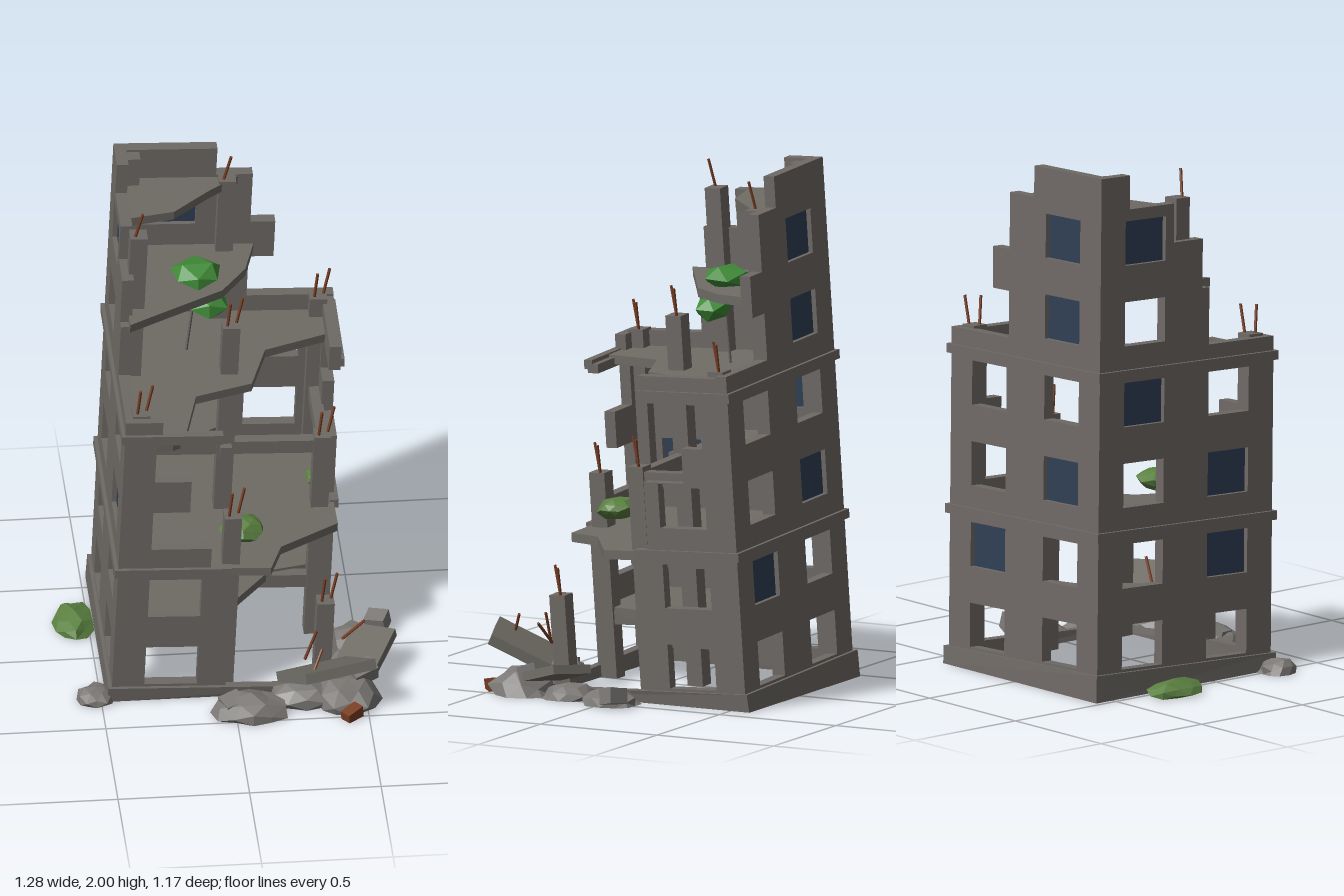
import * as THREE from 'three';

const mat = (name, color) => new THREE.MeshStandardMaterial({ name, color });
const M = {
  wall: mat('concreteWall', 0x6e6965),
  slab: mat('concreteFloor', 0x6f6c65),
  rock: mat('rubbleGrey', 0x7b7875),
  glass: mat('darkGlass', 0x2e3f54),
  rust: mat('rust', 0x7b4025),
  leaf: mat('leafGreen', 0x5a8040),
  fresh: mat('freshGreen', 0x3f8a37),
};
const W = 0.432, T = 0.045, STOREY = 0.31;   // wall half width, thickness, storey height
const floorY = k => STOREY * k - 0.02;

function add(parent, name, geo, material, x = 0, y = 0, z = 0, rx = 0, ry = 0, rz = 0) {
  const m = new THREE.Mesh(geo, material);
  m.name = name;
  m.position.set(x, y, z);
  m.rotation.set(rx, ry, rz);
  parent.add(m);
  return m;
}
const box = (w, h, d) => new THREE.BoxGeometry(w, h, d);
// box given by its limits
const span = (p, name, m, x0, x1, y0, y1, z0, z1) =>
  add(p, name, box(x1 - x0, y1 - y0, z1 - z0), m, (x0 + x1) / 2, (y0 + y1) / 2, (z0 + z1) / 2);
const shapeOf = pts => new THREE.Shape(pts.map(p => new THREE.Vector2(p[0], p[1])));

// Ragged wall with windows; each window is [storey, bay (-1 or 1), glazed]
function wall(parent, name, pts, windows) {
  const g = new THREE.Group();
  g.name = name;
  const s = shapeOf(pts);
  for (const [k, bay, glazed] of windows) {
    const x = bay * 0.21, y = floorY(k - 1) + 0.095, h = 0.17;
    s.holes.push(new THREE.Path([[x - 0.1, y], [x - 0.1, y + h], [x + 0.1, y + h], [x + 0.1, y]]
      .map(p => new THREE.Vector2(...p))));
    if (glazed) add(g, 'windowPane', box(0.2, h, 0.008), M.glass, x, y + h / 2, T / 2);
  }
  add(g, name + 'Panel', new THREE.ExtrudeGeometry(s, { depth: T, bevelEnabled: false }), M.wall);
  parent.add(g);
  return g;
}

// Broken floor plate, outline in x and z
function floorSlab(parent, k, pts) {
  const geo = new THREE.ExtrudeGeometry(shapeOf(pts), { depth: 0.035, bevelEnabled: false });
  add(parent, 'floorSlab' + k, geo, M.slab, 0, floorY(k), 0, Math.PI / 2);
}

function rod(parent, name, x, y, z, len, rx, rz, m = M.rust) {
  const geo = new THREE.CylinderGeometry(0.006, 0.006, len, 6).translate(0, len / 2, 0);
  add(parent, name, geo, m, x, y, z, rx, 0, rz);
}

// Faceted lump with a repeatable uneven surface
function lump(parent, name, m, x, y, z, sx, sy, sz, detail = 1, rough = 0.12) {
  const geo = new THREE.IcosahedronGeometry(1, detail);
  const p = geo.attributes.position, v = new THREE.Vector3();
  for (let i = 0; i < p.count; i++) {
    v.fromBufferAttribute(p, i);
    v.multiplyScalar(1 + rough * Math.sin(v.x * 7.3 + v.y * 5.1 + v.z * 9.7 + x * 31 + z * 17));
    p.setXYZ(i, v.x * sx, v.y * sy, v.z * sz);
  }
  add(parent, name, geo, m, x, y, z);
}

// Applies all transforms, then flattens whatever lies below the ground
function settle(root) {
  root.updateMatrixWorld(true);
  root.traverse(o => {
    if (!o.isMesh) return;
    const geo = o.geometry.index ? o.geometry.toNonIndexed() : o.geometry;
    geo.applyMatrix4(o.matrixWorld);
    const p = geo.attributes.position;
    for (let i = 0; i < p.count; i++) p.setY(i, Math.max(0, p.getY(i)));
    geo.computeVertexNormals();
    o.geometry = geo;
  });
  root.traverse(o => { o.position.set(0, 0, 0); o.rotation.set(0, 0, 0); });
}

export function createModel() {
  const root = new THREE.Group();
  root.name = 'ruinedTower';
  const t = new THREE.Group();
  t.name = 'leaningTower';
  t.position.set(-0.03, 0, -0.13);
  t.rotation.set(0.046, 0, -0.04);
  root.add(t);

  // Outer walls
  wall(t, 'backWall', [[-W, 0], [W, 0], [W, 1.29], [0.1, 1.29], [0.1, 1.47], [0.195, 1.47], [0.195, 1.63],
    [0.1, 1.63], [0.1, 1.85], [-0.04, 1.85], [-0.04, 1.97], [-W, 1.97]],
  [[1, -1], [1, 1], [2, -1], [2, 1, 1], [3, -1, 1], [3, 1], [4, -1], [4, 1], [5, -1, 1], [6, -1, 1]])
    .position.z = -W;
  const left = wall(t, 'sideWallTall', [[-W, 0], [W, 0], [W, 1.28], [0.11, 1.28], [0.11, 1.5], [0.075, 1.5],
    [0.075, 1.69], [-0.07, 1.69], [-0.07, 1.84], [-0.29, 1.84], [-0.29, 1.97], [-W, 1.97]],
  [[1, -1], [1, 1], [2, -1], [2, 1, 1], [3, -1], [3, 1, 1], [4, -1, 1], [4, 1], [5, -1], [6, -1, 1]]);
  left.position.x = -W + T;
  left.rotation.y = -Math.PI / 2;
  wall(t, 'frontWall', [[-W, 0], [0, 0], [0, 0.58], [-0.08, 0.58], [-0.08, 0.695], [-0.31, 0.695], [-0.31, 0.865],
    [-0.17, 0.865], [-0.17, 1.005], [-0.31, 1.005], [-0.31, 1.175], [-0.06, 1.175], [-0.06, 1.21],
    [-0.29, 1.21], [-0.29, 1.28], [-W, 1.28]], [[1, -1], [2, -1]]).position.z = W - T;
  const right = wall(t, 'sideWallBroken', [[-W, 0], [0, 0], [0, 0.58], [-0.05, 0.58], [-0.05, 0.87], [-0.22, 0.87],
    [-0.22, 1.005], [-0.31, 1.005], [-0.31, 1.175], [-0.05, 1.175], [-0.05, 1.28], [-W, 1.28]],
  [[1, -1], [2, -1], [3, -1]]);
  right.position.x = W;
  right.rotation.y = -Math.PI / 2;

  // Plinth and string courses
  const B = 0.446;
  const ring = (name, y0, y1, frontEnd, sideEnd) => {
    span(t, name, M.wall, -B, B, y0, y1, -B, -W + 0.02);
    span(t, name, M.wall, -B, -W + 0.02, y0, y1, -B, B);
    span(t, name, M.wall, -B, frontEnd, y0, y1, W - 0.02, B);
    span(t, name, M.wall, W - 0.02, B, y0, y1, -B, sideEnd);
  };
  ring('plinth', -0.1, 0.065, B, B);
  ring('stringCourse', 0.575, 0.61, 0, 0.0);
  ring('stringCourse', 1.19, 1.225, -0.06, -0.05);

  // Columns on a three by three grid: x, z, top, number of bars
  const C = 0.37;
  for (const [x, z, top, bars] of [[-C, -C, 1.96, 0], [0, -C, 1.85, 1], [C, -C, 1.3, 2], [-C, 0, 1.85, 1],
    [0, 0, 1.43, 2], [C, 0, 0.92, 2], [-C, C, 1.29, 2], [0, C, 0.81, 2], [C, C, 0.41, 2]]) {
    span(t, 'column', M.wall, x - 0.033, x + 0.033, 0, top, z - 0.033, z + 0.033);
    for (let i = 0; i < bars; i++)
      rod(t, 'columnBar', x - 0.015 + 0.035 * i, top - 0.01, z + 0.01 - 0.02 * i, 0.12, 0.1 - 0.15 * i, i ? -0.18 : -0.06 - 0.14 * (bars === 1));
  }

  // Floors
  floorSlab(t, 1, [[-0.4, -0.4], [0.4, -0.4], [0.4, -0.05], [0.2, 0], [0.06, 0.18], [0, 0.4], [-0.4, 0.4]]);
  floorSlab(t, 2, [[-0.4, -0.4], [0.42, -0.4], [0.43, 0.14], [0.2, 0.29], [0.15, 0.43], [-0.4, 0.41]]);
  floorSlab(t, 3, [[-0.4, -0.4], [0.08, -0.4], [0.06, -0.2], [-0.03, -0.06], [-0.2, 0.04], [-0.4, 0.06]]);
  floorSlab(t, 4, [[-0.4, -0.4], [0.42, -0.4], [0.43, -0.24], [0.15, -0.125], [0.08, 0.095], [-0.14, 0.175],
    [-0.2, 0.42], [-0.4, 0.42]]);
  floorSlab(t, 5, [[-0.4, -0.4], [0.12, -0.4], [0.07, -0.22], [-0.03, -0.08], [-0.25, 0.05], [-0.4, 0.14]]);
  floorSlab(t, 6, [[-0.4, -0.4], [0.06, -0.4], [-0.07, -0.3], [-0.22, -0.16], [-0.4, -0.12]]);

  // Beams under the floors
  for (let k = 1; k <= 4; k++) {
    const y1 = floorY(k) - 0.01, y0 = y1 - 0.055;
    span(t, 'crossBeam', M.wall, -0.4, k < 4 ? 0.385 : 0.06, y0, y1, -0.022, 0.022);
    span(t, 'longBeam', M.wall, -0.022, 0.022, y0, y1, -0.4, k < 3 ? 0.38 : 0.06);
    if (k < 4) span(t, 'edgeBeam', M.wall, 0.35, 0.394, y0, y1, -0.4, 0.02);
  }
  rod(root, 'hangingBar', -0.13, 1.23, -0.21, 0.22, 0.03, -0.12, M.wall);

  // Bushes
  lump(root, 'roofBush', M.fresh, -0.09, 1.565, -0.21, 0.1, 0.05, 0.1, 0);
  lump(root, 'hangingBush', M.fresh, -0.05, 1.45, -0.18, 0.08, 0.05, 0.07, 0);
  lump(root, 'bush', M.leaf, 0.045, 0.665, 0.175, 0.09, 0.045, 0.075);
  lump(root, 'bush', M.leaf, 0.37, 0.645, -0.19, 0.045, 0.03, 0.07);
  lump(root, 'groundBush', M.leaf, -0.555, 0.01, -0.25, 0.08, 0.05, 0.12);

  // Rubble
  for (const [x, z, sx, sy, sz] of [[0.06, 0.42, 0.14, 0.07, 0.115], [0.43, 0.38, 0.12, 0.1, 0.13],
    [0.49, -0.03, 0.095, 0.06, 0.115], [-0.52, 0.285, 0.07, 0.055, 0.075], [0.27, 0.36, 0.13, 0.08, 0.09],
    [0.45, 0.17, 0.1, 0.06, 0.1]]) lump(root, 'rubbleRock', M.rock, x, 0, z, sx, sy, sz);
  add(root, 'rubbleBlock', box(0.08, 0.06, 0.07), M.rock, 0.585, 0.05, -0.09, 0.2, -0.4, 0.2);
  add(root, 'rubbleBlock', box(0.08, 0.05, 0.08), M.rock, -0.01, 0.035, 0.42, 0.1, 0.4, 0.15);
  add(root, 'rubbleBlock', box(0.1, 0.06, 0.07), M.rock, 0.49, 0.09, 0.33, 0.3, 0.5, 0);
  add(root, 'fallenSlab', box(0.3, 0.04, 0.25), M.slab, 0.345, 0.165, 0.425, -0.5, 0.38, 0.13);
  add(root, 'fallenSlab', box(0.17, 0.035, 0.21), M.slab, 0.515, 0.105, 0.19, 0.3, -0.45, 0.22);
  rod(root, 'slabBar', 0.27, 0.17, 0.345, 0.13, 0, -0.35);
  rod(root, 'slabBar', 0.28, 0.18, 0.5, 0.12, -0.45, -0.4);
  rod(root, 'slabBar', 0.42, 0.2, 0.26, 0.12, 0.2, -0.75);
  add(root, 'rustyBrick', box(0.075, 0.05, 0.045), M.rust, 0.435, 0.02, 0.51, 0.1, 0.7, 0.1);

  settle(root);
  return root;
}
